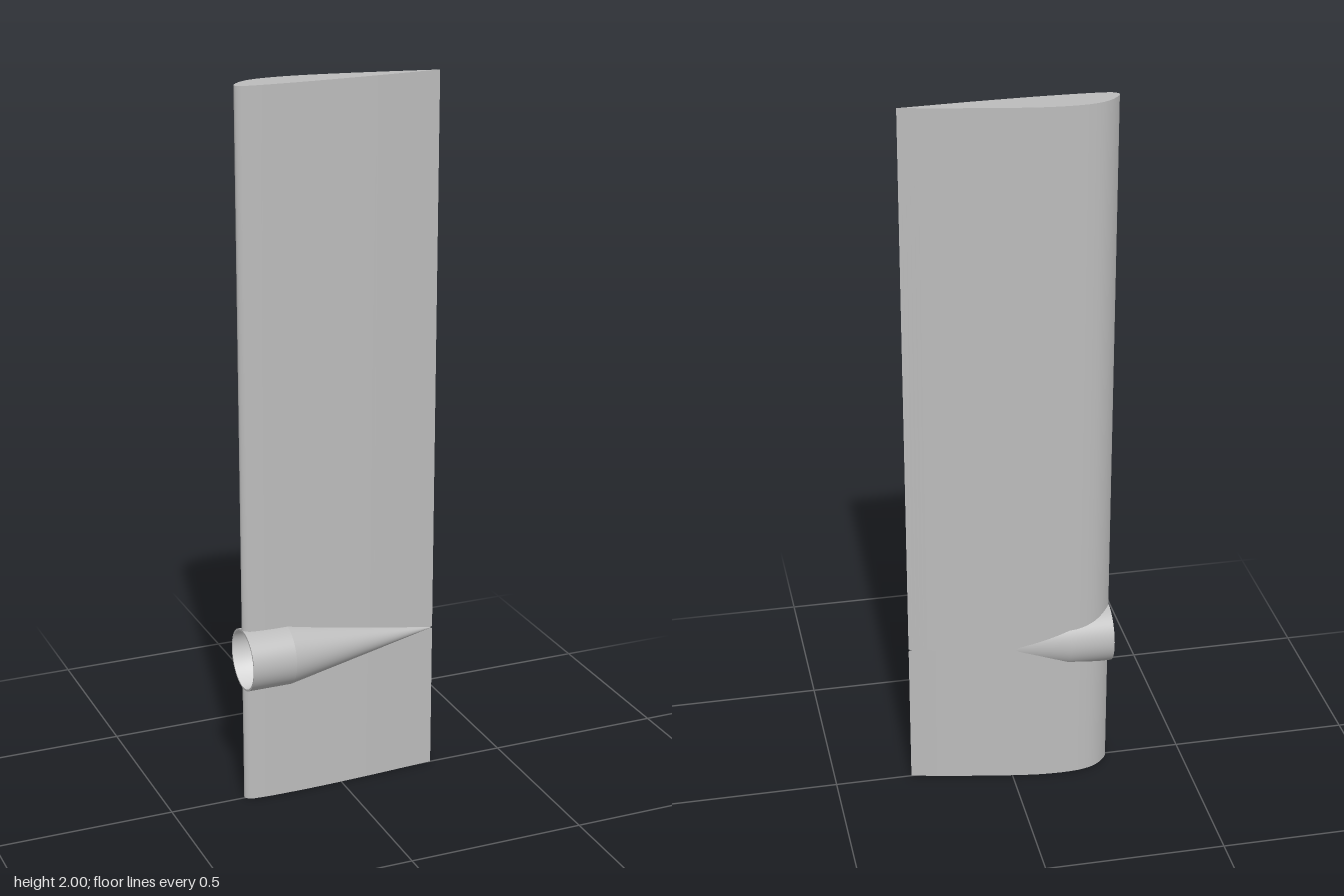
import * as THREE from 'three';

const HEIGHT = 2, NOSE = -0.285, TAIL = 0.284;
const POD_Y = 0.422, POD_R = 0.087, POD_KINK = -0.16;

// Pod radius along x: straight sleeve, then a long cone
const podRadius = (x) => POD_R * Math.min(1, Math.max(0, (TAIL - x) / (TAIL - POD_KINK)));

// Airfoil section from the trailing edge over the back, round the nose, along the front
function airfoil() {
  const pts = [
    [TAIL, 0], [0.2, -0.018], [0.1, -0.038], [0, -0.056], [-0.08, -0.067], [-0.15, -0.07],
    [-0.2, -0.066], [-0.24, -0.053], [-0.27, -0.029], [NOSE, -0.003], [-0.274, 0.01],
    [-0.24, 0.0155], [-0.15, 0.018], [-0.05, 0.017], [0.1, 0.011], [0.2, 0.005], [TAIL, 0],
  ].map(([x, z]) => new THREE.Vector3(x, 0, z));
  return new THREE.CatmullRomCurve3(pts, false, 'centripetal').getPoints(128)
    .map((p) => new THREE.Vector2(p.x, p.z));
}

// Section shrunk towards its mean line, for the inside wall
const shrink = (section) => section.map((p) => {
  const mid = -0.05 * (TAIL - p.x);
  return new THREE.Vector2(p.x * 0.965, mid + (p.y - mid) * 0.85);
});

// Upright wall between two height rules along a section
function wall(section, low, high, inward = false) {
  const pos = [], index = [];
  section.forEach((p, i) => {
    pos.push(p.x, low(p), p.y, p.x, high(p), p.y);
    if (i === section.length - 1) return;
    const a = 2 * i, b = a + 2, c = a + 3, d = a + 1;
    if (inward) index.push(a, c, b, a, d, c);
    else index.push(a, b, c, a, c, d);
  });
  const geo = new THREE.BufferGeometry();
  geo.setAttribute('position', new THREE.Float32BufferAttribute(pos, 3));
  geo.setIndex(index);
  geo.computeVertexNormals();
  return geo;
}

// Half-height of the opening where the wing passes through the pod
const cut = (p) => Math.sqrt(Math.max(0, (podRadius(p.x) - 0.003) ** 2 - p.y ** 2));

export function createModel() {
  const model = new THREE.Group();
  const grey = new THREE.MeshStandardMaterial({ color: 0xbcbcbc });
  grey.name = 'grey skin';
  const light = new THREE.MeshStandardMaterial({ color: 0xd2d2d2, side: THREE.DoubleSide });
  light.name = 'light interior';
  const add = (name, geo, mat) => {
    const mesh = new THREE.Mesh(geo, mat);
    mesh.name = name;
    model.add(mesh);
    return mesh;
  };

  // Wing skin and lining, each parted by the pod
  const outer = airfoil(), inner = shrink(outer);
  const floor = () => 0, below = (p) => POD_Y - cut(p), above = (p) => POD_Y + cut(p);
  add('lowerWingSkin', wall(outer, floor, below), grey);
  add('upperWingSkin', wall(outer, above, () => HEIGHT), grey);
  add('lowerWingLining', wall(inner, floor, below, true), light);
  add('upperWingLining', wall(inner, above, () => HEIGHT - 0.01, true), light);

  // Closed top, inside ceiling and open bottom rim
  const capShape = new THREE.Shape(outer.map((p) => new THREE.Vector2(p.x, -p.y)));
  add('topCap', new THREE.ShapeGeometry(capShape).rotateX(-Math.PI / 2).translate(0, HEIGHT, 0), grey);
  add('ceiling', new THREE.ShapeGeometry(new THREE.Shape(inner)).rotateX(Math.PI / 2)
    .translate(0, HEIGHT - 0.01, 0), light);
  const rimShape = new THREE.Shape(outer);
  rimShape.holes.push(new THREE.Path(inner));
  add('bottomRim', new THREE.ShapeGeometry(rimShape).rotateX(Math.PI / 2), grey);

  // Pod: outer sleeve and cone, inside wall and front lip
  const lathe = (name, pts, mat) => {
    const geo = new THREE.LatheGeometry(pts.map(([r, x]) => new THREE.Vector2(r, x)), 64);
    add(name, geo.rotateZ(-Math.PI / 2).translate(0, POD_Y, 0), mat);
  };
  const t = 0.005;
  lathe('podSleeve', [[POD_R, NOSE], [POD_R, POD_KINK]], grey);
  lathe('podCone', [[POD_R, POD_KINK], [POD_R / 2, (POD_KINK + TAIL) / 2], [0, TAIL]], grey);
  lathe('podLining', [[0, TAIL - 0.03], [POD_R - t, POD_KINK], [POD_R - t, NOSE]], light);
  lathe('podLip', [[POD_R - t, NOSE], [POD_R, NOSE]], grey);

  return model;
}
